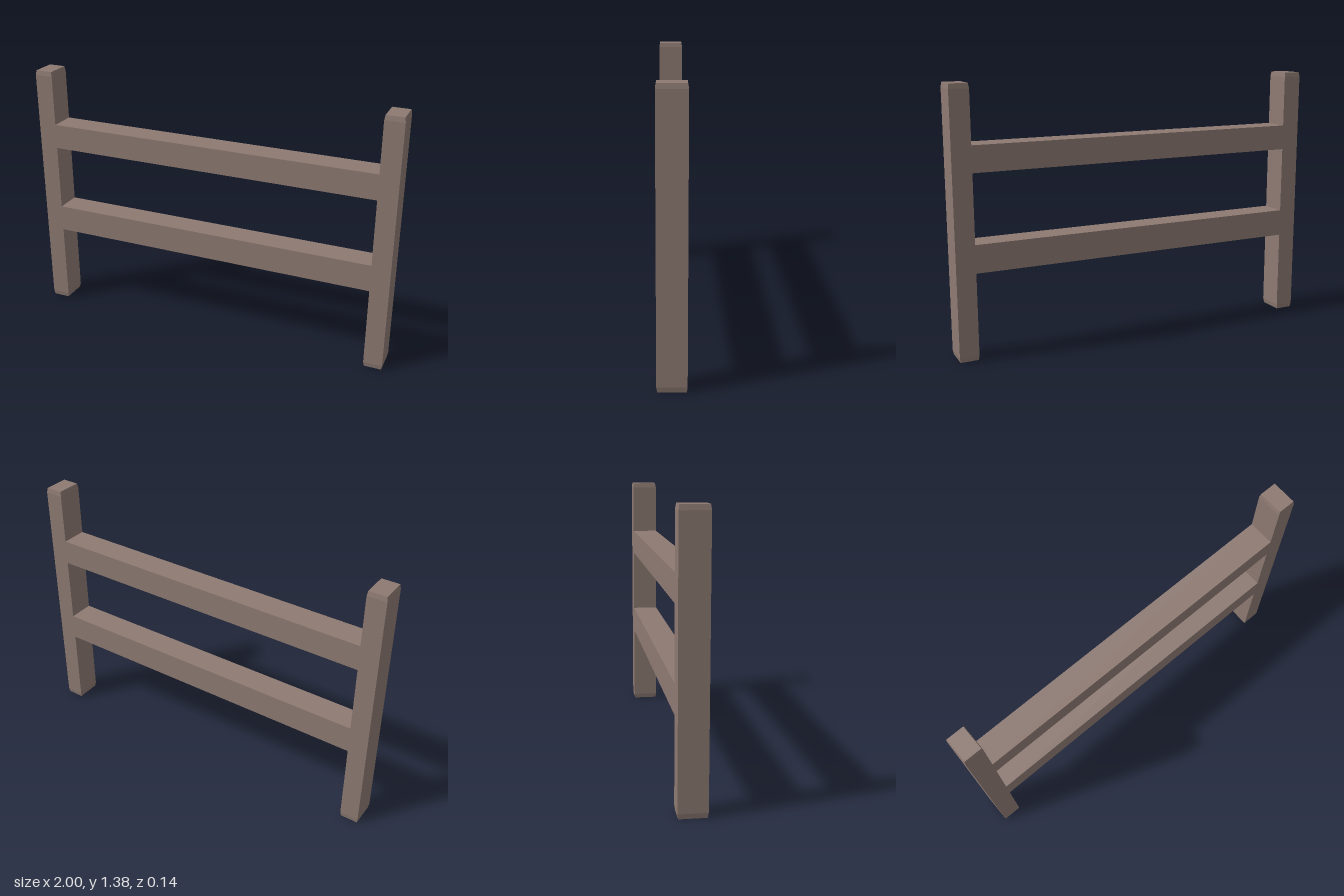
import * as THREE from 'three';

const DEPTH = 0.14, POST_W = 0.1, POST_H = 1.38;
const BEVEL_H = 0.025, BEVEL_IN = 0.004;

// Square post whose two ends narrow slightly
function postGeometry() {
  const geo = new THREE.BoxGeometry(POST_W, POST_H, DEPTH, 1, 3, 1);
  const pos = geo.attributes.position;
  for (let i = 0; i < pos.count; i++) {
    const y = pos.getY(i);
    if (Math.abs(y) > POST_H / 2 - 1e-4) {
      pos.setX(i, pos.getX(i) - Math.sign(pos.getX(i)) * BEVEL_IN);
      pos.setZ(i, pos.getZ(i) - Math.sign(pos.getZ(i)) * BEVEL_IN);
    } else {
      pos.setY(i, Math.sign(y) * (POST_H / 2 - BEVEL_H));
    }
  }
  geo.computeVertexNormals();
  return geo.translate(0, POST_H / 2, 0);
}

export function createModel() {
  const group = new THREE.Group();
  group.name = 'fence';
  const wood = new THREE.MeshStandardMaterial({ color: 0x8d7a72, flatShading: true });

  const add = (name, geo, x, y) => {
    const mesh = new THREE.Mesh(geo, wood);
    mesh.name = name;
    mesh.position.set(x, y, 0);
    group.add(mesh);
  };

  // Posts at both ends
  const post = postGeometry();
  const postX = 1 - POST_W / 2;
  add('leftPost', post, postX, 0);
  add('rightPost', post, -postX, 0);

  // Horizontal rails butted between the posts
  const rails = [['lowerRail', 0.45, 0.595], ['upperRail', 0.95, 1.085]];
  for (const [name, bottom, top] of rails) {
    add(name, new THREE.BoxGeometry(2 - 2 * POST_W, top - bottom, DEPTH), 0, (bottom + top) / 2);
  }
  return group;
}
